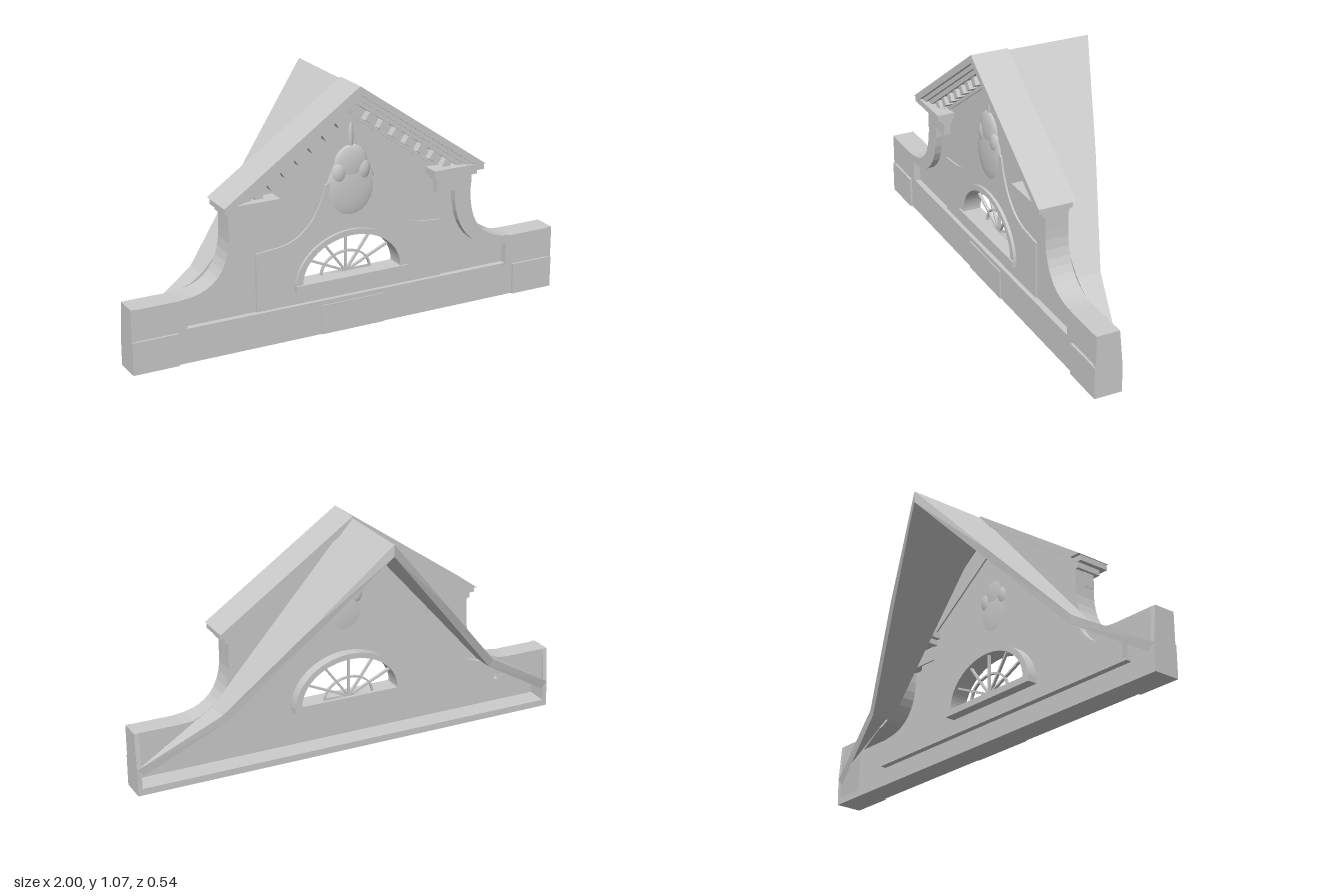
import * as THREE from 'three';

const mat = new THREE.MeshStandardMaterial({ color: 0xcccccc, side: THREE.DoubleSide, flatShading: true });
const smooth = new THREE.MeshStandardMaterial({ color: 0xcccccc, side: THREE.DoubleSide });
const SLOPE = 0.42 / 0.61;

export function createModel() {
  const root = new THREE.Group();
  const add = (name, geo, m = mat) => {
    const mesh = new THREE.Mesh(geo, m);
    mesh.name = name;
    root.add(mesh);
    return mesh;
  };
  // box given by its limits
  const box = (name, x0, x1, y0, y1, z0, z1) => add(name,
    new THREE.BoxGeometry(Math.abs(x1 - x0), y1 - y0, z1 - z0)
      .translate((x0 + x1) / 2, (y0 + y1) / 2, (z0 + z1) / 2));
  const slab = (name, shape, z0, z1) => add(name,
    new THREE.ExtrudeGeometry(shape, { depth: z1 - z0, bevelEnabled: false, curveSegments: 20 }).translate(0, 0, z0));
  const poly = (pts) => new THREE.Shape(pts.map(([x, y]) => new THREE.Vector2(x, y)));
  const halfEllipse = (P, cy, rx, ry) => {
    const p = new P();
    p.moveTo(rx, cy);
    p.absellipse(0, cy, rx, ry, 0, Math.PI, false, 0);
    p.closePath();
    return p;
  };
  const bezier = (a, b, c, n) => new THREE.QuadraticBezierCurve3(
    new THREE.Vector3(...a), new THREE.Vector3(...b), new THREE.Vector3(...c)).getPoints(n).map((v) => v.toArray());
  const mirror = (pts) => [...pts, ...pts.slice().reverse().map(([x, y]) => [-x, y])];
  const atZ = (pts, z) => pts.map(([x, y]) => [x, y, z]);
  // surface from triangles of points, mirrored by s
  const surface = (name, s, tris) => {
    const order = s > 0 ? [0, 1, 2] : [0, 2, 1];
    const pos = tris.flatMap((t) => order.flatMap((k) => [s * t[k][0], t[k][1], t[k][2]]));
    const g = new THREE.BufferGeometry();
    g.setAttribute('position', new THREE.Float32BufferAttribute(pos, 3));
    g.computeVertexNormals();
    add(name, g);
  };
  // strip of triangles between two rows of points
  const strip = (a, b) => a.slice(1).flatMap((p, i) => [[a[i], b[i], p], [p, b[i], b[i + 1]]]);

  // outer and inner outlines of the scroll
  const outer = bezier([0.57, 0.53, 0], [0.565, 0.29, 0], [0.78, 0.28, 0], 10);
  const inner = [...bezier([0.49, 0.54, 0], [0.49, 0.25, 0], [0.76, 0.245, 0], 10), [0.76, 0.14, 0]];

  // thin front wall with its window opening
  const wall = poly(mirror([...inner.slice().reverse(), [0.57, 0.56], [0.57, 0.65], [0, 1.03]]));
  wall.holes.push(halfEllipse(THREE.Path, 0.22, 0.25, 0.205));
  slab('frontWall', wall, 0.172, 0.186);

  // raised panel whose top sweeps up to the ornament
  const sweep = bezier([0.33, 0.415, 0], [0.17, 0.44, 0], [0.12, 0.65, 0], 10);
  const panel = poly(mirror([[0.44, 0.15], [0.44, 0.405], ...sweep, [0.09, 0.66]]));
  panel.holes.push(halfEllipse(THREE.Path, 0.22, 0.25, 0.205));
  slab('raisedPanel', panel, 0.186, 0.194);

  // carved ornament in low relief
  const bump = (x, y, rx, ry, rz) => add('carvedOrnament',
    new THREE.SphereGeometry(1, 24, 14).scale(rx, ry, rz).translate(x, y, 0.186), smooth);
  bump(0, 0.62, 0.115, 0.13, 0.018);
  bump(0, 0.72, 0.08, 0.085, 0.018);
  bump(0, 0.84, 0.012, 0.06, 0.008);
  for (const s of [-1, 1]) bump(s * 0.055, 0.69, 0.035, 0.05, 0.02);

  // fanlight window: arch, sill, spokes and inner arc
  const arch = halfEllipse(THREE.Shape, 0.22, 0.265, 0.22);
  arch.holes.push(halfEllipse(THREE.Path, 0.235, 0.232, 0.18));
  slab('windowArch', arch, 0.125, 0.207);
  box('windowSill', -0.265, 0.265, 0.207, 0.236, 0.125, 0.215);
  for (let i = 1; i < 6; i++) {
    const a = i * Math.PI / 6, x = 0.23 * Math.cos(a), y = 0.18 * Math.sin(a);
    const bar = add('windowSpoke', new THREE.BoxGeometry(Math.hypot(x, y), 0.009, 0.012));
    bar.position.set(x / 2, 0.235 + y / 2, 0.145);
    bar.rotation.z = Math.atan2(y, x);
  }
  const arc = halfEllipse(THREE.Shape, 0.235, 0.12, 0.094);
  arc.holes.push(halfEllipse(THREE.Path, 0.236, 0.111, 0.085));
  slab('windowInnerArc', arc, 0.139, 0.151);

  // hollow plinth
  box('plinthFront', -0.99, 0.99, 0, 0.15, 0.2, 0.212);
  box('plinthLedge', -0.78, 0.78, 0.14, 0.15, 0.172, 0.205);
  box('plinthFloor', -1, 1, 0, 0.03, 0.1, 0.21);
  box('plinthCentrePanel', -0.15, 0.15, 0, 0.13, 0.205, 0.217);

  // stepped rake mouldings, given by vertical distance below the roof line
  const chevron = (name, a, b, z0, z1) => slab(name, poly([
    [-(0.42 - a) / SLOPE, 0.65], [0, 1.07 - a], [(0.42 - a) / SLOPE, 0.65],
    [(0.42 - b) / SLOPE, 0.65], [0, 1.07 - b], [-(0.42 - b) / SLOPE, 0.65]]), z0, z1);
  chevron('roofCornice', 0, 0.035, 0.1, 0.266);
  chevron('corniceMoulding', 0.033, 0.058, 0.165, 0.25);
  chevron('corniceSoffit', 0.056, 0.082, 0.165, 0.236);
  chevron('bedMoulding', 0.08, 0.145, 0.165, 0.192);
  box('apexDentil', -0.02, 0.02, 0.945, 0.985, 0.18, 0.222);

  // rear roof profile: straight slope to its foot, then a flare along the wing
  const BACK = 0.115;
  const profile = (x) => [x, x < 0.65 ? 1.062 - 1.125 * x : 0.331 - 0.6 * (x - 0.65), BACK];
  const foot = profile(0.65), wingTip = [1, 0.12, 0.1];
  const rearEdge = [[0, 1.062, -0.27], [0.33, 0.691, -0.135], [0.65, 0.331, 0.01], wingTip];
  const rimEdge = [[0, 1.01, -0.27], [0.307, 0.665, -0.135], [0.63, 0.3, 0.01], [0.97, 0.09, 0.1]];
  const frontEdge = [[0.57, 0.6], ...outer, [1, 0.28]];
  const gableEdge = [[0, 1.062], [0.6, 0.65], ...frontEdge];
  const gableFoot = [0, 0.45, 0.5, ...outer.map(([x]) => x), 1].map(profile);

  for (const s of [-1, 1]) {
    // rear slope with its flare, lining and rim
    surface('rearSlope', s, strip(rearEdge.slice(0, 3), atZ(rearEdge.slice(0, 3), BACK)));
    surface('rearFlare', s, [[rearEdge[2], foot, wingTip]]);
    surface('roofLining', s, strip(rimEdge.slice(0, 3), atZ(rimEdge.slice(0, 3), BACK)));
    surface('roofRim', s, strip(rearEdge, rimEdge));

    // flat back of the gable and wing
    surface('gableBack', s, strip(atZ(gableEdge, BACK), gableFoot));

    // curved side of the scroll and top of the wing
    surface('scrollSide', s, strip(atZ(frontEdge, BACK), atZ(frontEdge, 0.21)));

    // wing front, its end wall and corner pedestal
    box('wingFront', s * 0.76, s * 0.995, 0.15, 0.278, 0.203, 0.217);
    box('cornerPedestal', s * 0.8, s, 0, 0.14, 0.205, 0.222);
    const end = poly([[0.1, 0], [0.217, 0], [0.217, 0.28], [BACK, 0.28], [0.1, 0.12]]);
    const wallEnd = slab('wingEnd', end, 0, 0.02);
    wallEnd.rotation.y = -Math.PI / 2;
    wallEnd.position.x = s > 0 ? 1 : -0.98;

    // curved scroll band standing forward of the wall
    const bandInner = inner.slice(0, -1).reverse();
    slab('scrollBand', poly([...outer, ...bandInner, [0.57, 0.54]].map(([x, y]) => [s * x, y])), 0.203, 0.217);
    surface('scrollStep', s, strip(atZ(inner, 0.172), atZ(inner, 0.21)));

    // stepped bracket under the cornice
    box('bracketBlock', s * 0.4, s * 0.572, 0.535, 0.602, 0.165, 0.217);
    box('bracketMoulding', s * 0.38, s * 0.585, 0.6, 0.625, 0.118, 0.238);
    box('bracketCap', s * 0.36, s * 0.605, 0.625, 0.652, 0.115, 0.262);

    // row of dentils under the rake
    for (let i = 0; i < 7; i++) {
      const x = 0.07 + i * 0.062;
      const d = add('dentil', new THREE.BoxGeometry(0.034, 0.038, 0.045));
      d.position.set(s * x, 1.07 - 0.105 - x * SLOPE, 0.203);
      d.rotation.z = -s * Math.atan(SLOPE);
    }
  }
  return root;
}
